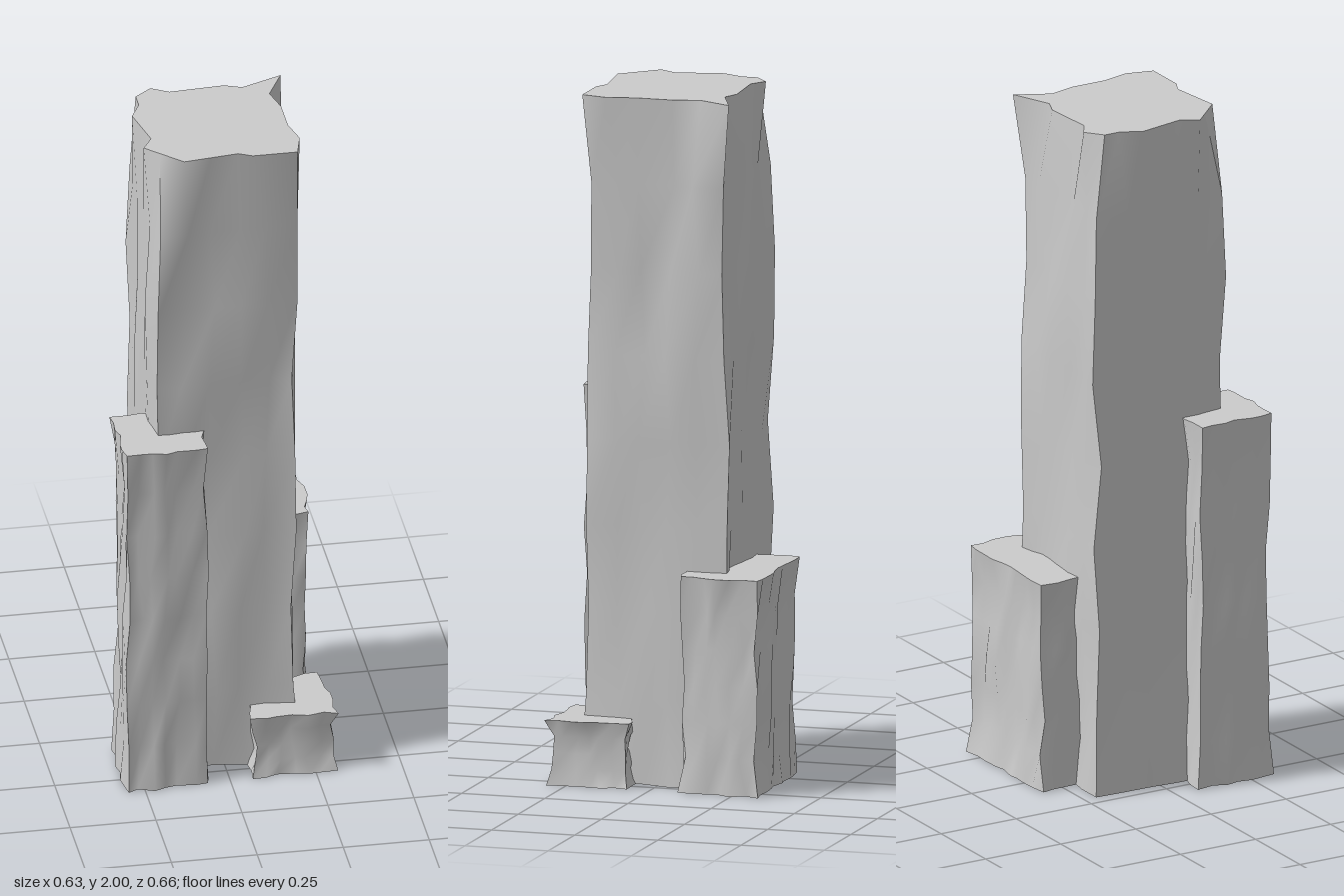
import * as THREE from 'three';

// Repeatable noise in -1..1 from grid indices
function noise(a, b, c, seed) {
  const s = Math.sin(a * 127.1 + b * 311.7 + c * 74.7 + seed * 53.3) * 43758.5453;
  return (s - Math.floor(s)) * 2 - 1;
}

// Outline of the tallest column's top: five points per side, from the -x -z corner
const MAIN_TOP = [
  [-0.19, -0.17], [-0.14, -0.21], [-0.09, -0.18], [0.07, -0.19], [0.12, -0.17],
  [0.24, -0.22], [0.19, -0.12], [0.21, -0.04], [0.21, 0.07], [0.23, 0.15],
  [0.21, 0.23], [0.08, 0.23], [0.04, 0.21], [-0.04, 0.22], [-0.12, 0.23],
  [-0.18, 0.17], [-0.22, 0.13], [-0.19, 0.08], [-0.22, -0.06], [-0.19, -0.12],
];

// Position of a grid point along the rim of an n x m grid, or -1 inside it
function rimIndex(i, k, n, m) {
  if (k === 0) return i;
  if (i === n) return n + k;
  if (k === m) return n + m + (n - i);
  if (i === 0) return 2 * n + m + (m - k);
  return -1;
}

// A rough stone column: a box whose wall vertices are pushed about horizontally
function column({ name, x, z, height, segs, rough, seed, top }) {
  const [nx, ny, nz] = segs;
  const w = x[1] - x[0], d = z[1] - z[0];
  const geo = new THREE.BoxGeometry(w, height, d, nx, ny, nz);
  const p = geo.attributes.position;
  for (let v = 0; v < p.count; v++) {
    const i = Math.round((p.getX(v) / w + 0.5) * nx);
    const j = Math.round((p.getY(v) / height + 0.5) * ny);
    const k = Math.round((p.getZ(v) / d + 0.5) * nz);
    let px = x[0] + (w * i) / nx, pz = z[0] + (d * k) / nz;
    const rim = rimIndex(i, k, nx, nz);
    if (rim >= 0) {
      if (top && j === ny) {
        [px, pz] = top[rim];
      } else {
        // part of the push runs the full height, giving vertical ridges
        const end = j === 0 || j === ny;
        px += rough * (0.4 * noise(i, 0, k, seed) + 0.6 * noise(i, j + 1, k, seed));
        pz += rough * (0.4 * noise(i, 0, k, seed + 9) + 0.6 * noise(i, j + 1, k, seed + 9));
        // ends flare slightly
        if (end) {
          px += 0.01 * ((2 * i) / nx - 1);
          pz += 0.01 * ((2 * k) / nz - 1);
        }
      }
    }
    p.setXYZ(v, px, (height * j) / ny, pz);
  }
  // box sides do not share vertices, so normals are smooth per side, sharp at edges
  geo.computeVertexNormals();
  const mesh = new THREE.Mesh(geo, new THREE.MeshStandardMaterial({ color: 0xcccccc }));
  mesh.name = name;
  return mesh;
}

export function createModel() {
  const group = new THREE.Group();
  group.name = 'rockColumns';
  const columns = [
    { name: 'mainColumn', x: [-0.205, 0.21], z: [-0.2, 0.215], height: 2, segs: [5, 8, 5], rough: 0.02, seed: 1, top: MAIN_TOP },
    { name: 'frontRightColumn', x: [-0.295, -0.075], z: [0.095, 0.312], height: 1.1, segs: [6, 8, 6], rough: 0.014, seed: 2 },
    { name: 'backLeftColumn', x: [-0.085, 0.295], z: [-0.315, -0.095], height: 0.63, segs: [9, 6, 6], rough: 0.015, seed: 3 },
    { name: 'frontLeftBlock', x: [0.077, 0.292], z: [0.08, 0.295], height: 0.19, segs: [6, 4, 6], rough: 0.014, seed: 4 },
  ];
  for (const c of columns) group.add(column(c));
  return group;
}
